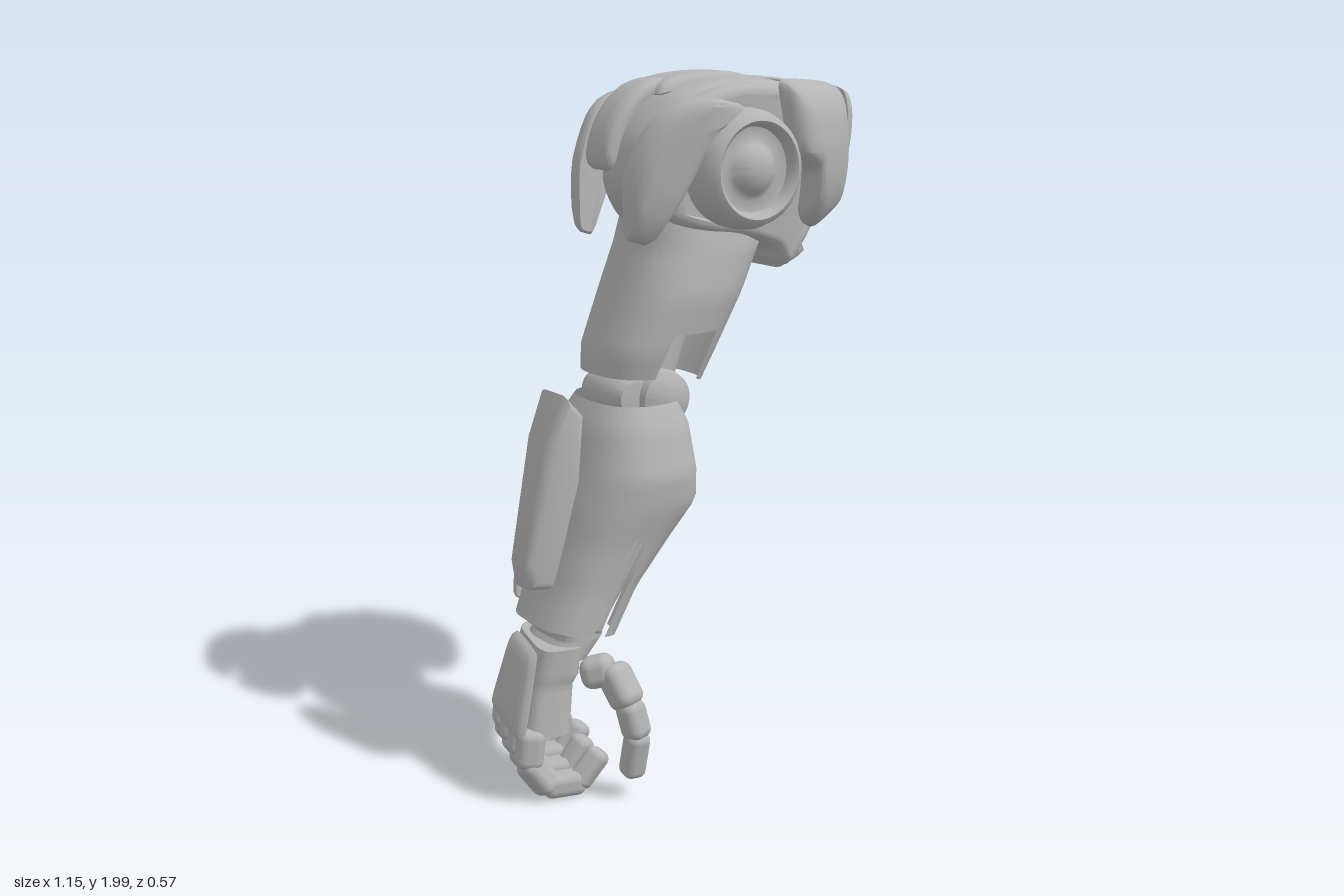
import * as THREE from 'three';
import { toCreasedNormals } from 'three/addons/utils/BufferGeometryUtils.js';
import { RoundedBoxGeometry } from 'three/addons/geometries/RoundedBoxGeometry.js';

const metal = new THREE.MeshStandardMaterial({ color: 0xb4b4b4, side: THREE.DoubleSide });
metal.name = 'grey metal';
const V3 = (x, y, z) => new THREE.Vector3(x, y, z);
const { smoothstep: smooth, lerp, clamp } = THREE.MathUtils;

function add(parent, name, geometry, crease = 0.7) {
  const mesh = new THREE.Mesh(crease ? toCreasedNormals(geometry, crease) : geometry, metal);
  mesh.name = name;
  parent.add(mesh);
  return mesh;
}

// Skin over rows of points; closed around each row, fan caps optional
function skin(rows, caps) {
  const n = rows[0].length, pos = [], index = [];
  rows.flat().forEach(p => pos.push(p.x, p.y, p.z));
  for (let j = 0; j < rows.length - 1; j++) for (let i = 0; i < n; i++) {
    const a = j * n + i, b = j * n + (i + 1) % n;
    index.push(a, b, a + n, b, b + n, a + n);
  }
  const cap = (row, flip) => {
    const c = rows[row].reduce((s, p) => s.add(p), V3(0, 0, 0)).divideScalar(n);
    const k = pos.length / 3;
    pos.push(c.x, c.y, c.z);
    for (let i = 0; i < n; i++) {
      const a = row * n + i, b = row * n + (i + 1) % n;
      index.push(...(flip ? [b, a, k] : [a, b, k]));
    }
  };
  if (caps) {
    cap(0, true);
    cap(rows.length - 1, false);
  }
  const g = new THREE.BufferGeometry();
  g.setAttribute('position', new THREE.Float32BufferAttribute(pos, 3));
  g.setIndex(index);
  g.computeVertexNormals();
  return g;
}

// Rounded cross-sections [y, x0, x1, z0, z1], top to bottom; open rims may be cut by top/bottom rules
function loft(sections, { top = () => 9, bottom = () => -9, cols = 64, rows = 18, power = 2.6, caps = true } = {}) {
  const at = y => {
    let k = 0;
    while (k < sections.length - 2 && y < sections[k + 1][0]) k++;
    const [a, b] = [sections[k], sections[k + 1]];
    const t = clamp((a[0] - y) / (a[0] - b[0]), 0, 1);
    return a.map((v, i) => lerp(v, b[i], t));
  };
  const grid = [];
  for (let j = 0; j <= rows; j++) {
    const row = [];
    for (let i = 0; i < cols; i++) {
      const a = i / cols * Math.PI * 2, c = Math.cos(a), s = Math.sin(a);
      const nx = Math.sign(c) * Math.abs(c) ** (2 / power), nz = Math.sign(s) * Math.abs(s) ** (2 / power);
      const y = clamp(lerp(sections[0][0], sections.at(-1)[0], j / rows), bottom(nx, nz), top(nx, nz));
      const [, xa, xb, za, zb] = at(y);
      row.push(V3((xa + xb) / 2 + nx * (xb - xa) / 2, y, (za + zb) / 2 + nz * (zb - za) / 2));
    }
    grid.push(row);
  }
  return skin(grid, caps);
}

// Domed armour pad: outline in (u, v), placed by map(u, v, height)
function pad(outline, map, height, round = 0.35) {
  const pts = outline.map(p => V3(p[0], p[1], 0));
  const path = new THREE.CatmullRomCurve3(pts, true, 'catmullrom', round).getPoints(56).slice(0, -1);
  const c = path.reduce((s, p) => s.add(p), V3(0, 0, 0)).divideScalar(path.length);
  const ring = (s, h) => path.map(p => map(lerp(c.x, p.x, s), lerp(c.y, p.y, s), h * height));
  const scales = [0.04, 0.3, 0.55, 0.75, 0.88, 0.96, 1];
  const rows = scales.map(s => ring(s, Math.sqrt(1 - s ** 5)));
  rows.push(ring(0.97, -0.12), ring(0.6, -0.1), ring(0.04, 0));
  return skin(rows, true);
}

// Bevelled block from a front outline between two depths
function block(outline, z0, z1, bevel, inset, curved) {
  let pts = outline.map(p => new THREE.Vector2(...p));
  if (curved) pts = new THREE.CatmullRomCurve3(pts.map(p => V3(p.x, p.y, 0)), true, 'catmullrom', 0.4)
    .getPoints(60).slice(0, -1).map(p => new THREE.Vector2(p.x, p.y));
  const g = new THREE.ExtrudeGeometry(new THREE.Shape(pts), {
    depth: z1 - z0 - 2 * bevel, bevelThickness: bevel, bevelSize: inset, bevelOffset: -inset, bevelSegments: 5,
  });
  return g.translate(0, 0, z0 + bevel);
}

// Scale the depth of a geometry by a factor that depends on x and y
function taper(g, factor, centre) {
  const p = g.attributes.position;
  for (let i = 0; i < p.count; i++) p.setZ(i, centre + (p.getZ(i) - centre) * factor(p.getX(i), p.getY(i)));
  return g;
}

// Rounded bar from a to b
function bar(parent, name, a, b, w, d = w, extra = 0.015) {
  const m = add(parent, name, new RoundedBoxGeometry(w, d, a.distanceTo(b) + extra, 3, Math.min(w, d) * 0.36), 0);
  m.position.copy(a).lerp(b, 0.5);
  m.quaternion.setFromUnitVectors(V3(0, 0, 1), b.clone().sub(a).normalize());
}

const turned = pts => new THREE.LatheGeometry(pts.map(p => new THREE.Vector2(...p)), 48).rotateX(Math.PI / 2);
const oblong = [[-1, -0.6], [-0.85, -0.95], [0, -1], [0.85, -0.95], [1, -0.6], [1, 0.6], [0.85, 0.95], [0, 1], [-0.85, 0.95], [-1, 0.6]];

function buildShoulder(g) {
  const profile = [[-0.18, 1.7], [-0.16, 1.83], [-0.06, 1.94], [0.08, 1.98], [0.24, 1.98], [0.4, 1.94], [0.48, 1.86],
    [0.48, 1.72], [0.42, 1.58], [0.31, 1.445], [0.26, 1.5], [0.14, 1.54], [0, 1.56], [-0.12, 1.6]];
  const narrow = (x, y) => 1 - 0.35 * smooth(-x, 0, 0.2) - 0.12 * smooth(x, 0.25, 0.48) * smooth(y, 1.5, 1.7);
  add(g, 'shoulderShell', taper(block(profile, -0.18, 0.15, 0.08, 0.07, true), narrow, -0.015), 0.9);
  const rim = profile.map(([x, y]) => [0.13 + (x - 0.13) * 0.9, 1.74 + (y - 1.74) * 0.94]);
  add(g, 'shoulderBand', taper(block(rim, -0.2, 0.165, 0.03, 0.03, true), narrow, -0.015), 0.9);
  // Pivot drum, front socket and rear cap
  add(g, 'frontSocket', turned([[0.16, 0.1], [0.165, 0.19], [0.162, 0.225], [0.148, 0.26], [0.132, 0.27], [0.122, 0.262],
    [0.115, 0.235], [0.085, 0.23], [0.068, 0.24], [0.055, 0.256], [0.03, 0.268], [0, 0.272]])).position.set(0.095, 1.745, 0);
  add(g, 'rearCap', turned([[0, -0.27], [0.05, -0.267], [0.1, -0.256], [0.135, -0.238], [0.15, -0.215], [0.158, -0.19], [0.172, -0.18], [0.175, -0.12]]))
    .position.set(0.095, 1.745, 0);
  // Top pads
  add(g, 'topPad', pad([[-0.08, -0.11], [-0.06, -0.12], [0.08, -0.12], [0.23, -0.12], [0.295, -0.05], [0.295, -0.02], [0.235, 0.045], [0.08, 0.05], [-0.06, 0.05], [-0.08, 0.04]],
    (x, z, h) => V3(x, 1.966 - 0.6 * (x - 0.12) ** 2 + h, z), 0.034, 0.15));
  const spinePad = (name, pts, place, height) => {
    const curve = new THREE.CatmullRomCurve3(pts);
    add(g, name, pad(oblong, (u, v, h) => {
      const t = clamp((u + 1) / 2, 0, 1), d = curve.getTangent(t);
      return place(curve.getPoint(t), V3(d.y, -d.x, 0), t, v, h);
    }, height));
  };
  spinePad('rearTopPad', [V3(-0.005, 1.965, 0), V3(-0.11, 1.93, 0), V3(-0.18, 1.85, 0), V3(-0.215, 1.74, 0)],
    (p, n, t, v, h) => p.addScaledVector(n, h).setZ(-0.04 + v * (0.045 + 0.02 * smooth(t, 0, 0.3))), 0.035);
  for (const s of [1, -1]) {
    // Curved rear guards
    spinePad('rearGuard', [V3(0.085, 1.895, 0), V3(-0.05, 1.88, 0), V3(-0.135, 1.77, 0), V3(-0.2, 1.555, 0)],
      (p, n, t, v, h) => {
        p.addScaledVector(n, v * (0.03 + 0.05 * smooth(t, 0, 0.55) - 0.04 * smooth(t, 0.7, 1)));
        return p.setZ(-0.02 + s * (0.205 + 0.42 * Math.min(0, p.x + 0.02) + h));
      }, 0.065);
    // Outer side guards
    const dx = s > 0 ? 0 : 0.05;
    add(g, 'sideGuard', pad([[0.21, 1.95], [0.24, 1.98], [0.43, 1.965], [0.465, 1.92], [0.47, 1.75], [0.455, 1.62], [0.36, 1.56], [0.31, 1.61], [0.295, 1.73], [0.225, 1.79]],
      (x, y, h) => V3(x + dx, y, s * (0.225 - 0.32 * (x - 0.22) - 0.9 * (y - 1.78) ** 2 + h)), 0.08));
  }
  add(g, 'endGuard', pad([[-0.11, 1.94], [0.02, 1.955], [0.14, 1.94], [0.165, 1.88], [0.15, 1.72], [0.1, 1.63], [0.02, 1.61], [-0.06, 1.63], [-0.11, 1.72], [-0.13, 1.88]],
    (z, y, h) => V3(0.525 - 0.2 * (z - 0.02) - 0.9 * (y - 1.86) ** 2 - 0.6 * (z - 0.02) ** 2 + h, y, z), 0.036));
}

function buildUpperArm(g) {
  add(g, 'upperArmShell', loft([[1.64, -0.12, 0.22, -0.17, 0.14], [1.53, -0.14, 0.25, -0.205, 0.165], [1.4, -0.19, 0.18, -0.21, 0.18],
    [1.25, -0.25, 0.105, -0.2, 0.16], [1.14, -0.26, 0.055, -0.18, 0.13]], {
    bottom: nx => Math.abs(nx - 0.08) < 0.42 ? 1.3 : 1.18 - 0.03 * smooth(nx, 0, 1), cols: 128, caps: false,
  }));
  add(g, 'upperArmCore', loft([[1.5, -0.1, 0.16, -0.15, 0.12], [1.3, -0.18, 0.07, -0.14, 0.1]]));
  // Elbow joint
  bar(g, 'elbowLink', V3(-0.01, 1.36, -0.02), V3(-0.1, 1.12, -0.02), 0.13, 0.2);
  add(g, 'elbowDrum', turned([[0, -0.165], [0.05, -0.162], [0.075, -0.145], [0.082, -0.11], [0.082, 0.075], [0.075, 0.11], [0.05, 0.127], [0, 0.13]]))
    .position.set(-0.098, 1.113, 0);
  add(g, 'rearElbowDrum', turned([[0, -0.125], [0.05, -0.12], [0.062, -0.09], [0.062, 0.055], [0.05, 0.085], [0, 0.09]]))
    .position.set(-0.185, 1.12, 0);
}

function buildForearm(g) {
  add(g, 'forearmShell', loft([[1.12, -0.27, -0.03, -0.17, 0.14], [1.05, -0.31, -0.01, -0.215, 0.18], [0.92, -0.35, 0.005, -0.252, 0.218],
    [0.83, -0.38, 0.012, -0.246, 0.21], [0.73, -0.405, -0.07, -0.215, 0.185], [0.6, -0.445, -0.18, -0.182, 0.165], [0.46, -0.505, -0.26, -0.162, 0.158]], {
    top: (nx, nz) => 1.11 - (nx > 0 ? 0.23 * Math.max(0, 1 - (nz / 0.9) ** 2) : 0),
    bottom: (nx, nz) => (nx > 0 && Math.abs(nz) < 0.25) ? 0.66 : Math.abs(nx - 0.1) < 0.15 ? 0.74 : 0.485 - 0.02 * nx,
    cols: 144, rows: 26, caps: false,
  }));
  add(g, 'forearmCore', loft([[1.04, -0.26, -0.07, -0.13, 0.1], [0.85, -0.34, -0.06, -0.19, 0.15], [0.68, -0.4, -0.15, -0.165, 0.135], [0.49, -0.47, -0.28, -0.13, 0.12]]));
  for (const z of [0.15, -0.17]) bar(g, 'pistonRod', V3(-0.25, 0.76, z * 1.15), V3(-0.36, 0.5, z * 0.93), 0.035);
  // Rear blade and outer panel
  const blade = block([[-0.385, 1.145], [-0.33, 1.085], [-0.345, 0.9], [-0.42, 0.6], [-0.5, 0.605], [-0.512, 0.68], [-0.44, 1.02]], -0.1, 0.06, 0.035, 0.025);
  add(g, 'rearBlade', taper(blade, x => 1 - 0.4 * smooth(-x, 0.38, 0.52), -0.02), 0.9);
  add(g, 'outerPanel', pad([[-0.36, 0.74], [-0.3, 0.74], [-0.32, 0.62], [-0.35, 0.51], [-0.43, 0.52], [-0.41, 0.64]],
    (x, y, h) => V3(x, y, -0.18 - 0.03 * (y - 0.5) - h), 0.035));
  add(g, 'wrist', loft([[0.52, -0.45, -0.28, -0.12, 0.1], [0.46, -0.44, -0.28, -0.125, 0.105], [0.4, -0.48, -0.33, -0.13, 0.1]]));
}

function buildHand(g) {
  const hand = new THREE.Group();
  hand.name = 'hand';
  hand.position.set(-0.41, 0, -0.03);
  hand.rotation.y = -0.25;
  g.add(hand);
  add(hand, 'palm', loft([[0.445, -0.06, 0.07, -0.125, 0.14], [0.36, -0.085, 0.06, -0.125, 0.14], [0.34, -0.09, 0.045, -0.13, 0.135], [0.2, -0.12, 0.03, -0.16, 0.155]], { power: 4 }));
  add(hand, 'backOfHand', pad([[-0.1, 0.43], [0.1, 0.43], [0.13, 0.33], [0.15, 0.2], [0, 0.19], [-0.15, 0.2], [-0.13, 0.33]],
    (z, y, h) => V3(-0.065 - 0.24 * (0.43 - y) - h, y, z), 0.03, 0.2));
  // Four curled fingers, each closed by its own amount
  const reach = [0.7, 1, 0.85, 1.05];
  reach.forEach((r, f) => {
    const z = -0.12 + f * 0.081, lift = 0.009 * (3 - f);
    const curl = [[-0.09, 0.21], [-0.1, 0.12], [-0.045, 0.043], [0.045 * r, 0.043], [0.1 * r, 0.115]];
    for (let k = 0; k < 4; k++) {
      const [a, b] = [curl[k], curl[k + 1]], w = 0.08 - 0.005 * k;
      bar(hand, 'fingerJoint', V3(a[0], a[1] + lift, z), V3(b[0], b[1] + lift, z), w, w, 0.03);
    }
  });
  // Thumb
  const thumb = [V3(-0.37, 0.36, 0.1), V3(-0.315, 0.38, 0.15), V3(-0.295, 0.29, 0.21), V3(-0.28, 0.2, 0.228), V3(-0.285, 0.08, 0.205)];
  [0.09, 0.09, 0.075, 0.068].forEach((w, k) => bar(g, 'thumbJoint', thumb[k], thumb[k + 1], w, w, 0.02));
}

export function createModel() {
  const arm = new THREE.Group();
  arm.name = 'mechanicalArm';
  [buildShoulder, buildUpperArm, buildForearm, buildHand].forEach(build => build(arm));
  return arm;
}
